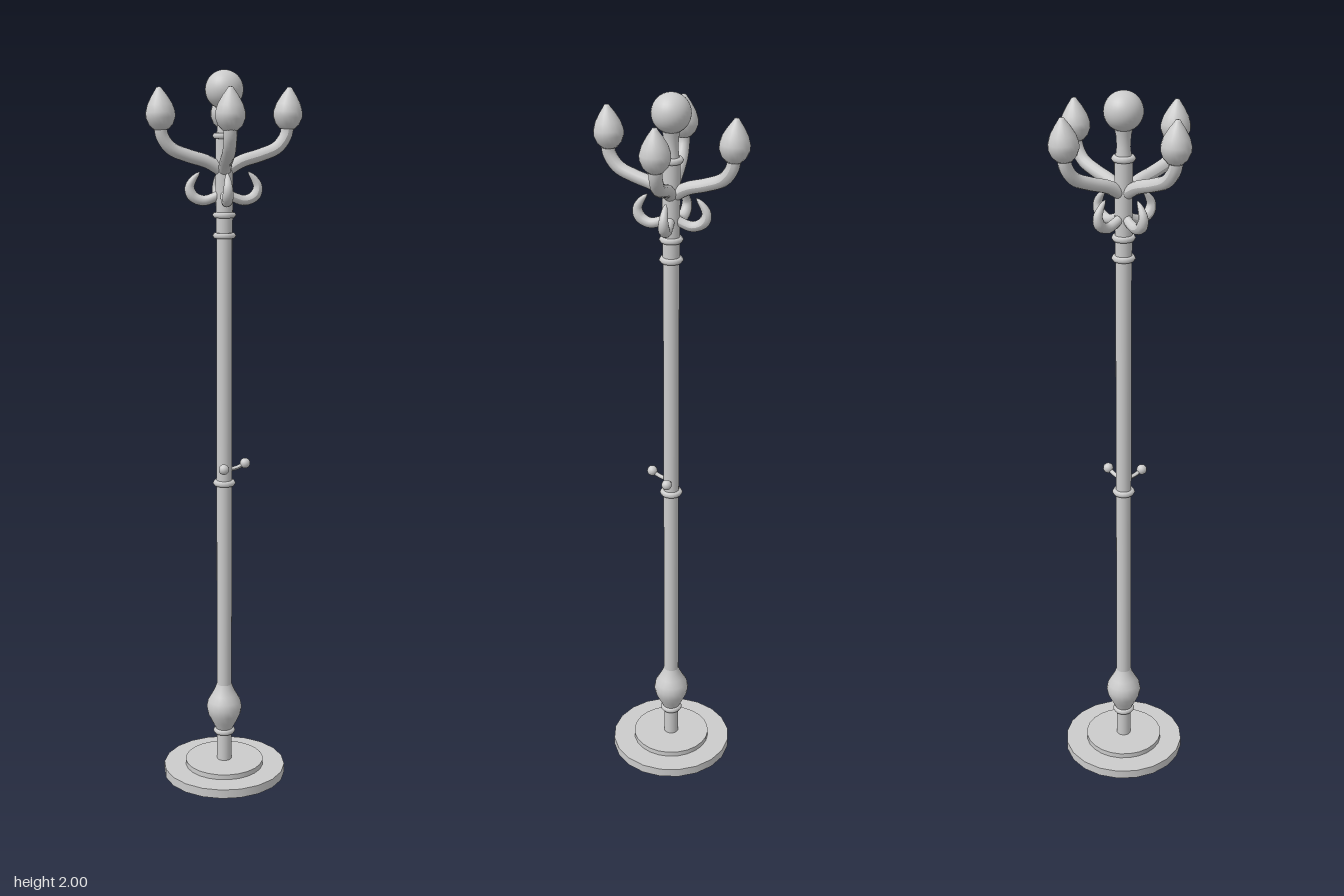
import * as THREE from 'three';

const material = new THREE.MeshStandardMaterial({ color: 0xcccccc, side: THREE.DoubleSide });

function add(group, name, geometry, x = 0, y = 0, z = 0) {
  const mesh = new THREE.Mesh(geometry, material);
  mesh.name = name;
  mesh.position.set(x, y, z);
  group.add(mesh);
  return mesh;
}

const lathe = (points, sides = 20) =>
  new THREE.LatheGeometry(points.map(([r, y]) => new THREE.Vector2(r, y)), sides);

// Tube along (radius, height) points in the local XY plane, with thickness varying along it
function taperedTube(points, radiusAt, segments = 24, sides = 12) {
  const curve = new THREE.CatmullRomCurve3(points.map(([x, y]) => new THREE.Vector3(x, y, 0)));
  const geometry = new THREE.TubeGeometry(curve, segments, 1, sides);
  const pos = geometry.attributes.position;
  const v = new THREE.Vector3();
  for (let i = 0; i < pos.count; i++) {
    const t = Math.floor(i / (sides + 1)) / segments;
    const centre = curve.getPointAt(t);
    v.fromBufferAttribute(pos, i).sub(centre).multiplyScalar(radiusAt(t)).add(centre);
    pos.setXYZ(i, v.x, v.y, v.z);
  }
  geometry.computeVertexNormals();
  return geometry;
}

export function createModel() {
  const model = new THREE.Group();
  model.name = 'coatStand';

  // Stepped round base
  add(model, 'baseDisc', new THREE.CylinderGeometry(0.176, 0.176, 0.026, 20), 0, 0.013);
  add(model, 'baseStep', new THREE.CylinderGeometry(0.113, 0.113, 0.016, 24), 0, 0.033);

  // Post with the turned bulb near the foot
  add(model, 'lowerPost', new THREE.CylinderGeometry(0.021, 0.021, 0.1, 20), 0, 0.088);
  add(model, 'turnedBulb', lathe([
    [0.021, 0.13], [0.027, 0.143], [0.036, 0.16], [0.047, 0.183], [0.051, 0.204],
    [0.047, 0.224], [0.036, 0.243], [0.027, 0.26], [0.022, 0.275],
  ]));
  add(model, 'mainPost', new THREE.CylinderGeometry(0.0215, 0.0215, 1.31, 20), 0, 0.92);
  add(model, 'upperPost', new THREE.CylinderGeometry(0.024, 0.0225, 0.265, 20), 0, 1.7);

  // Turned rings
  for (const y of [0.13, 0.878, 1.567, 1.622, 1.83]) {
    add(model, 'ring', lathe([
      [0.02, -0.008], [0.028, -0.007], [0.032, 0], [0.028, 0.007], [0.02, 0.008],
    ]), 0, y);
  }

  // Neck and ball finial
  add(model, 'neck', lathe([[0.022, 1.825], [0.018, 1.86], [0.02, 1.89], [0.026, 1.915]]));
  add(model, 'ballFinial', new THREE.SphereGeometry(0.051, 28, 20), 0, 1.949);

  // Four upper arms tipped with acorn knobs
  const armGeometry = taperedTube([
    [0.0, 1.735], [0.045, 1.762], [0.1, 1.779], [0.145, 1.798], [0.169, 1.83], [0.174, 1.862],
  ], () => 0.0175);
  const acornGeometry = lathe([
    [0, -0.045], [0.02, -0.043], [0.032, -0.03], [0.039, -0.012], [0.039, 0.002],
    [0.033, 0.022], [0.021, 0.043], [0.009, 0.06], [0.006, 0.065], [0, 0.066],
  ]);
  for (const [x, z] of [[0.137, 0.108], [0.137, -0.108], [-0.123, 0.118], [-0.14, -0.102]]) {
    const arm = new THREE.Group();
    arm.name = 'upperArm';
    arm.rotation.y = Math.atan2(-z, x);
    add(arm, 'armStem', armGeometry);
    add(arm, 'acornKnob', acornGeometry, Math.hypot(x, z), 1.89).rotation.z = -0.06;
    model.add(arm);
  }

  // Four lower hooks curling back towards the post
  const hookGeometry = taperedTube([
    [0.0, 1.685], [0.03, 1.667], [0.058, 1.66], [0.085, 1.672], [0.093, 1.695],
    [0.083, 1.716], [0.066, 1.735],
  ], t => t < 0.6 ? 0.012 + 0.005 * t : 0.015 * Math.sqrt(Math.max(0.01, (1 - t) / 0.4)));
  for (const [x, z] of [[0.065, 0.05], [0.06, -0.075], [-0.06, 0.06], [-0.057, -0.072]]) {
    add(model, 'lowerHook', hookGeometry).rotation.y = Math.atan2(-z, x);
  }

  // Two small pegs halfway up
  const pegGeometry = taperedTube([[0.01, 0.915], [0.035, 0.919], [0.06, 0.93]], () => 0.006, 8, 8);
  for (const side of [-1, 1]) {
    const peg = new THREE.Group();
    peg.name = 'smallPeg';
    peg.rotation.y = Math.atan2(-0.037, side * 0.048);
    add(peg, 'pegStem', pegGeometry);
    add(peg, 'pegBall', new THREE.SphereGeometry(0.0145, 14, 10), 0.06, 0.931);
    model.add(peg);
  }

  return model;
}
